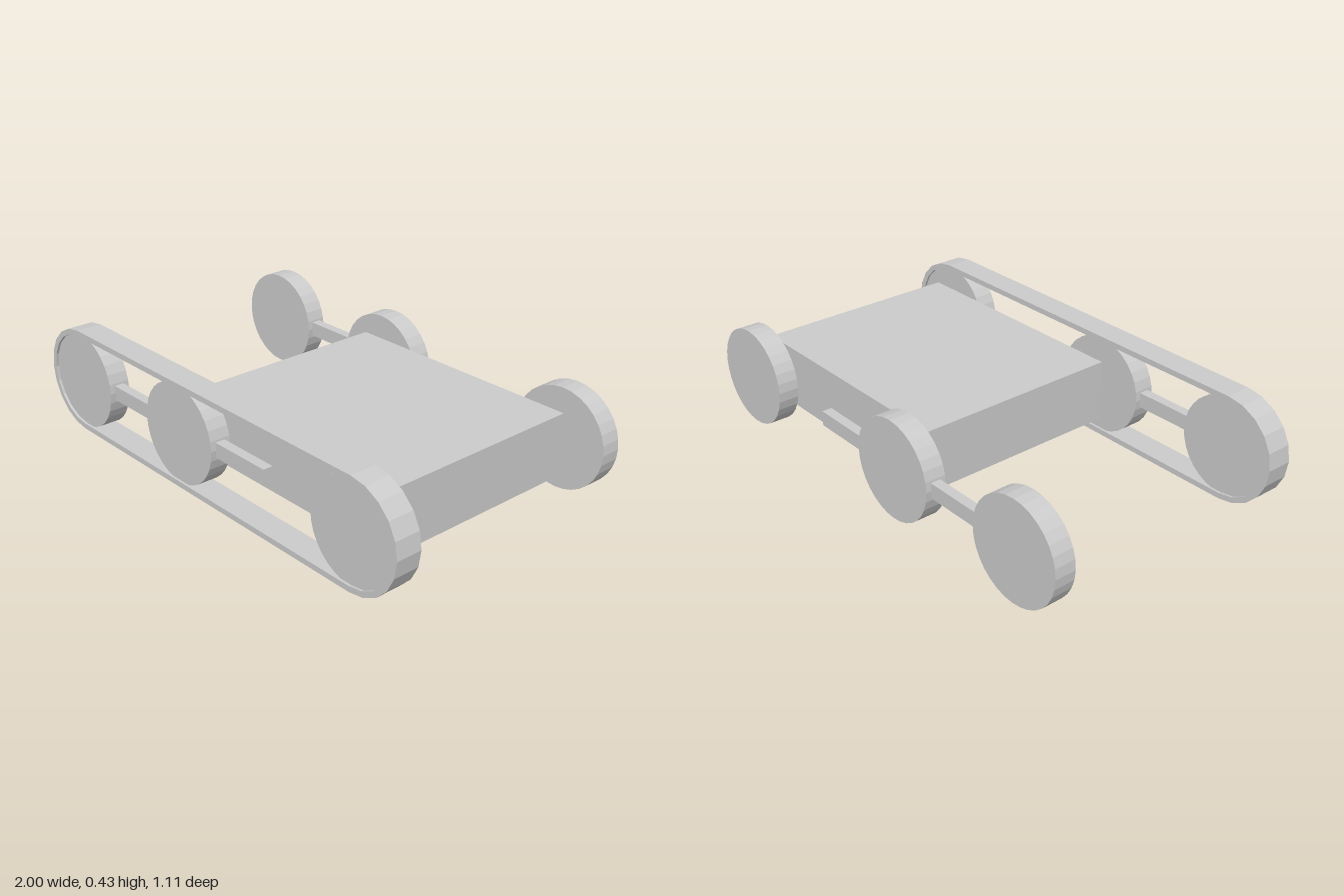
import * as THREE from 'three';

const material = new THREE.MeshStandardMaterial({ color: 0xcccccc, flatShading: true });
const AXLE_Y = 0.2125;
const WHEEL_X = [-0.79, -0.145, 0.787];

function add(parent, name, geometry, x, y, z) {
  const mesh = new THREE.Mesh(geometry, material);
  mesh.name = name;
  mesh.position.set(x, y, z);
  parent.add(mesh);
  return mesh;
}

// Outline of a belt around the two end wheels, faceted at each end
function beltOutline(radius, segments = 10) {
  const points = [];
  for (const side of [1, -1]) {
    for (let i = 0; i <= segments; i++) {
      const a = -Math.PI / 2 + (Math.PI * i) / segments;
      points.push(new THREE.Vector2(
        side * (0.7875 + radius * Math.cos(a)),
        side * radius * Math.sin(a)
      ));
    }
  }
  return points;
}

// Three wheels on one connecting bar
function createWheelSet(name, z) {
  const set = new THREE.Group();
  set.name = name;
  const wheel = new THREE.CylinderGeometry(0.199, 0.199, 0.085, 32).rotateX(Math.PI / 2);
  ['rightWheel', 'middleWheel', 'leftWheel'].forEach((part, i) =>
    add(set, part, wheel, WHEEL_X[i], AXLE_Y + 0.002, 0));
  add(set, 'connectingBar', new THREE.BoxGeometry(1.11, 0.06, 0.04), -0.235, 0.215, 0);
  set.position.z = z;
  return set;
}

export function createModel() {
  const model = new THREE.Group();
  model.name = 'trackedChassis';

  // Hull
  add(model, 'body', new THREE.BoxGeometry(1.02, 0.25, 0.85), 0.32, 0.215, -0.005);

  // Running gear on both sides
  model.add(createWheelSet('frontWheelSet', 0.5025));
  model.add(createWheelSet('backWheelSet', -0.5125));

  // Track belt, fitted on the front side only
  const belt = new THREE.Shape(beltOutline(0.2125));
  belt.holes.push(new THREE.Path(beltOutline(0.19)));
  const beltGeometry = new THREE.ExtrudeGeometry(belt, { depth: 0.105, bevelEnabled: false });
  add(model, 'trackBelt', beltGeometry, 0, AXLE_Y, 0.45);

  return model;
}
